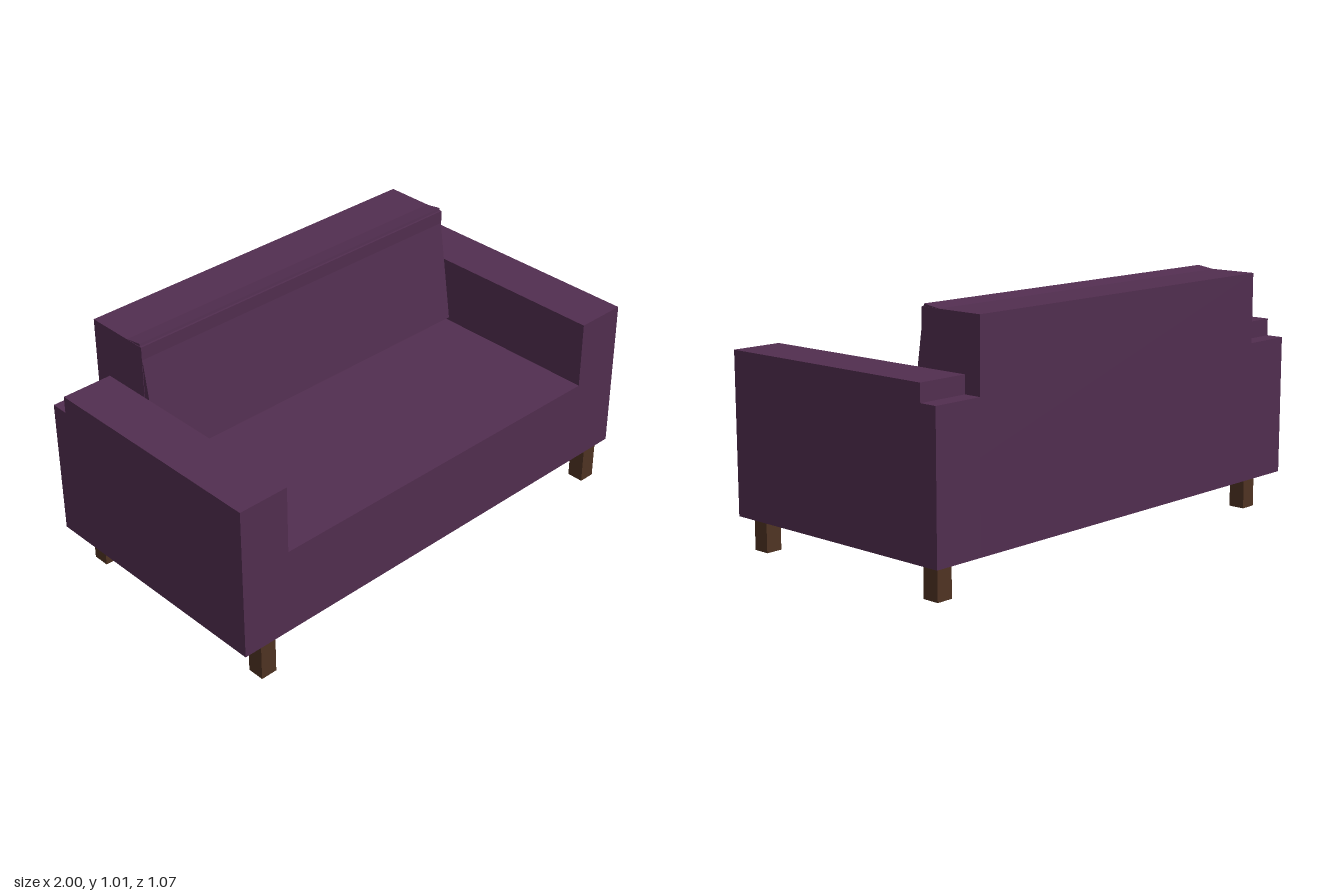
import * as THREE from 'three';

export function createModel() {
  const sofa = new THREE.Group();
  sofa.name = 'sofa';

  const fabric = new THREE.MeshStandardMaterial({ color: 0x522e50 });
  fabric.name = 'plum fabric';
  const wood = new THREE.MeshStandardMaterial({ color: 0x503423 });
  wood.name = 'dark wood';

  // Box given by its minimum and maximum corners
  function box(name, material, [x0, y0, z0], [x1, y1, z1]) {
    const mesh = new THREE.Mesh(new THREE.BoxGeometry(x1 - x0, y1 - y0, z1 - z0), material);
    mesh.position.set((x0 + x1) / 2, (y0 + y1) / 2, (z0 + z1) / 2);
    mesh.name = name;
    sofa.add(mesh);
  }

  const back = -0.533, front = 0.533, ledge = -0.46;
  const inner = 0.787, floor = 0.147;

  // Seat block and upright backrest between the arms
  box('seat', fabric, [-inner, floor, back], [inner, 0.505, front]);
  box('backrest', fabric, [-inner, 0.505, back], [inner, 1.0, -0.25]);

  // Back cushion: a leaning slab whose top edge pokes out of the backrest
  const profile = new THREE.Shape([
    [0.185, 0.52], [0.26, 1.011], [0.36, 0.996], [0.285, 0.505],
  ].map(([z, y]) => new THREE.Vector2(z, y)));
  const cushionGeometry = new THREE.ExtrudeGeometry(profile, { depth: inner * 2 - 0.004, bevelEnabled: false });
  cushionGeometry.translate(0, 0, -inner + 0.002);
  cushionGeometry.rotateY(Math.PI / 2); // profile x becomes -z
  const cushion = new THREE.Mesh(cushionGeometry, fabric);
  cushion.name = 'backCushion';
  sofa.add(cushion);

  for (const [side, s] of [['left', 1], ['right', -1]]) {
    const span = (a, b) => (s > 0 ? [a, b] : [-b, -a]);

    // Arm with a lower ledge behind it
    const [a0, a1] = span(inner, 1);
    box(side + 'Arm', fabric, [a0, floor, ledge], [a1, 0.785, front]);
    box(side + 'ArmLedge', fabric, [a0, floor, back], [a1, 0.715, ledge]);

    // Square legs
    const [l0, l1] = span(0.858, 0.927);
    box(side + 'FrontLeg', wood, [l0, 0, 0.463], [l1, floor, front]);
    box(side + 'BackLeg', wood, [l0, 0, ledge], [l1, floor, -0.39]);
  }

  return sofa;
}
